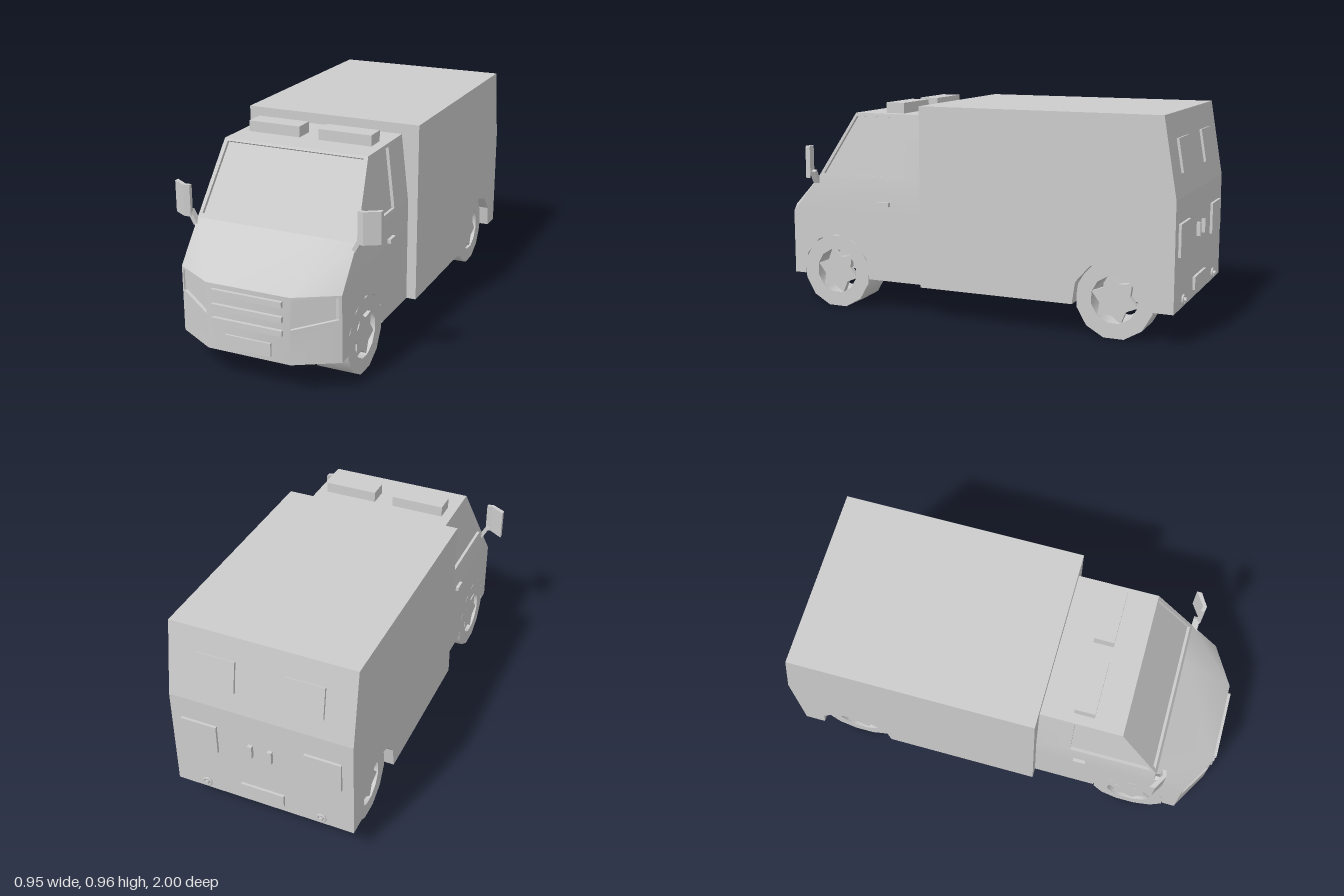
import * as THREE from 'three';
import { toCreasedNormals } from 'three/addons/utils/BufferGeometryUtils.js';

const FLOOR = 0.145, WAIST = 0.44, SILL = 0.61, ROOF = 0.915; // cab heights
const HALF = 0.37, BOX = 0.415;                               // cab and cargo half widths
const FRONT = 0.985, CORNER = 0.88, BACK = 0.185;             // cab depths
const AXLE = 0.17, ARCH = 0.175;

const v = (x, y, z) => new THREE.Vector3(x, y, z);
const quad = (a, b, c, d) => [a, b, c, a, c, d];

// Mirror a list of triangles across x = 0, keeping them facing outwards
const mirror = (tris) => tris.map((p) => v(-p.x, p.y, p.z)).reverse();

// Four-sided panel with a sunken four-sided pane
function recessed(outer, inner, depth) {
  const n = v(0, 0, 0).subVectors(outer[1], outer[0])
    .cross(v(0, 0, 0).subVectors(outer[2], outer[0])).normalize();
  const deep = inner.map((p) => p.clone().addScaledVector(n, -depth));
  const out = quad(...deep);
  for (let i = 0; i < 4; i++) {
    const j = (i + 1) % 4;
    out.push(...quad(outer[i], outer[j], inner[j], inner[i]));
    out.push(...quad(inner[i], inner[j], deep[j], deep[i]));
  }
  return out;
}

function surface(tris) {
  const g = new THREE.BufferGeometry().setFromPoints(tris);
  g.computeVertexNormals();
  return toCreasedNormals(g, 0.6);
}

// Extrude a (z, y) outline sideways from x0 to x1
function slab(points, x0, x1, hole) {
  const shape = new THREE.Shape(points.map(([z, y]) => new THREE.Vector2(z, y)));
  if (hole) shape.holes.push(new THREE.Path(hole.map(([z, y]) => new THREE.Vector2(z, y))));
  const g = new THREE.ExtrudeGeometry(shape, { depth: x1 - x0, bevelEnabled: false });
  return g.rotateY(-Math.PI / 2).translate(x1, 0, 0);
}

// Regular ring of (z, y) points; a second radius makes a star
function ring(sides, r, r2 = r) {
  return Array.from({ length: sides }, (_, i) => {
    const a = ((i + 0.5) / sides) * Math.PI * 2, q = i % 2 ? r2 : r;
    return [Math.cos(a) * q, Math.sin(a) * q];
  });
}

// Wheel arch points from rear to front, cut up from the floor line
function arch(zc) {
  const low = Math.asin((FLOOR - AXLE) / ARCH);
  return Array.from({ length: 7 }, (_, i) => {
    const a = Math.PI - low - (i / 6) * (Math.PI - 2 * low);
    return [zc + Math.cos(a) * ARCH, AXLE + Math.sin(a) * ARCH];
  });
}

export function createModel() {
  const root = new THREE.Group();
  const grey = new THREE.MeshStandardMaterial({ color: 0xcccccc });
  grey.name = 'body grey';

  const add = (name, geometry, parent = root) => {
    const m = new THREE.Mesh(geometry, grey);
    m.name = name;
    parent.add(m);
    return m;
  };
  const box = (name, x0, x1, y0, y1, z0, z1) => add(name,
    new THREE.BoxGeometry(x1 - x0, y1 - y0, z1 - z0)
      .translate((x0 + x1) / 2, (y0 + y1) / 2, (z0 + z1) / 2));

  // Cargo box: plain core with arched outer slabs
  const cargoTop = [[BACK, FLOOR], [BACK, 0.962], [-0.92, 0.962], [-0.978, 0.62], [-0.978, FLOOR]];
  const cargoArched = [...cargoTop, ...arch(-0.71)];
  add('cargoCore', slab(cargoTop, -0.2, 0.2));
  add('cargoSideLeft', slab(cargoArched, 0.2, BOX));
  add('cargoSideRight', slab(cargoArched, -BOX, -0.2));

  // Lower cab: plain core with arched outer slabs
  const cabLow = [[CORNER, FLOOR], [CORNER, WAIST], [BACK, WAIST], [BACK, FLOOR]];
  const cabArched = [...cabLow, ...arch(0.65)];
  add('cabCore', slab(cabLow, -0.2, 0.2));
  add('cabSideLeft', slab(cabArched, 0.2, HALF));
  add('cabSideRight', slab(cabArched, -HALF, -0.2));

  // Nose and hood, with sunken headlights on the chamfered corners
  const E = 0.19;
  const onCorner = (x, y) => v(x, y, CORNER + ((HALF - x) / (HALF - E)) * (FRONT - CORNER));
  const lampCorner = recessed(
    [onCorner(E, FLOOR), onCorner(HALF, FLOOR), onCorner(HALF, WAIST), onCorner(E, WAIST)],
    [onCorner(0.193, 0.298), onCorner(0.36, 0.335), onCorner(0.36, 0.43), onCorner(0.205, 0.42)], 0.014);
  const hoodCorner = quad(v(E, WAIST, FRONT), v(HALF, WAIST, CORNER), v(HALF, SILL, 0.74), v(E, SILL, 0.74));
  add('noseAndHood', surface([
    ...quad(v(-E, FLOOR, FRONT), v(E, FLOOR, FRONT), v(E, WAIST, FRONT), v(-E, WAIST, FRONT)),
    ...quad(v(-E, WAIST, FRONT), v(E, WAIST, FRONT), v(E, SILL, 0.74), v(-E, SILL, 0.74)),
    ...quad(v(-HALF, FLOOR, CORNER), v(HALF, FLOOR, CORNER), v(E, FLOOR, FRONT), v(-E, FLOOR, FRONT)),
    ...lampCorner, ...mirror(lampCorner), ...hoodCorner, ...mirror(hoodCorner),
  ]));

  // Doors with sunken side windows
  const T = 0.335;
  const onSide = (y, z) => v(HALF - ((HALF - T) * (y - SILL)) / (ROOF - SILL), y, z);
  const door = [
    ...quad(v(HALF, WAIST, CORNER), v(HALF, WAIST, BACK), v(HALF, SILL, BACK), v(HALF, SILL, 0.74)),
    ...recessed(
      [onSide(SILL, 0.74), onSide(SILL, BACK), onSide(ROOF, BACK), onSide(ROOF, 0.55)],
      [onSide(0.63, 0.71), onSide(0.63, 0.34), onSide(0.9, 0.34), onSide(0.9, 0.545)], 0.014),
  ];
  add('doorLeft', surface(door));
  add('doorRight', surface(mirror(door)));

  // Sunken windshield and roof
  const onShield = (x, y) => v(x, y, 0.74 - (0.19 * (y - SILL)) / (ROOF - SILL));
  add('windshield', surface(recessed(
    [onShield(-HALF, SILL), onShield(HALF, SILL), onShield(T, ROOF), onShield(-T, ROOF)],
    [onShield(-0.352, 0.628), onShield(0.352, 0.628), onShield(0.318, 0.905), onShield(-0.318, 0.905)], 0.014)));
  add('cabRoof', surface(
    quad(v(-T, ROOF, 0.55), v(T, ROOF, 0.55), v(T, ROOF, BACK), v(-T, ROOF, BACK))));

  // Grille bars and front plate
  for (const y of [0.27, 0.33, 0.395]) box('grilleBar', -0.16, 0.16, y, y + 0.025, FRONT - 0.01, 1);
  box('frontPlate', -0.105, 0.105, 0.167, 0.226, FRONT - 0.01, 0.994);

  // Paired fittings
  for (const s of [1, -1]) {
    const pair = (name, x0, x1, ...rest) => box(name, Math.min(s * x0, s * x1), Math.max(s * x0, s * x1), ...rest);
    pair('roofLight', 0.045, 0.29, ROOF - 0.005, 0.963, 0.325, 0.415);
    pair('doorHandle', 0.365, 0.385, 0.495, 0.514, 0.362, 0.418);
    pair('rearLowerWindow', 0.2, 0.365, 0.375, 0.515, -0.99, -0.975);
    pair('rearHandle', 0.035, 0.055, 0.41, 0.47, -0.995, -0.975);

    // Upper rear windows follow the leaning back wall
    const pane = add('rearUpperWindow', new THREE.BoxGeometry(0.175, 0.145, 0.02));
    pane.position.set(s * 0.197, 0.785, -0.951);
    pane.rotation.x = Math.atan2(0.058, 0.342);

    // Tail lamps: ring around a small lens
    const lamp = new THREE.Group();
    lamp.name = 'tailLamp';
    lamp.position.set(s * 0.27, 0.178, -0.982);
    add('lampRim', new THREE.TorusGeometry(0.018, 0.006, 6, 12), lamp);
    add('lampLens', new THREE.CylinderGeometry(0.01, 0.01, 0.03, 10).rotateX(Math.PI / 2), lamp);
    root.add(lamp);

    // Mirrors: bent plate on a short arm
    const plan = [[0.385, 0.752], [0.41, 0.757], [0.475, 0.715], [0.475, 0.738], [0.412, 0.775], [0.385, 0.77]];
    const plate = new THREE.Shape(plan.map(([x, z]) => new THREE.Vector2(s * x, -z)));
    add('mirror', new THREE.ExtrudeGeometry(plate, { depth: 0.14, bevelEnabled: false })
      .rotateX(-Math.PI / 2).translate(0, 0.62, 0));
    const arm = add('mirrorArm', new THREE.BoxGeometry(0.018, 0.065, 0.03));
    arm.position.set(s * 0.382, 0.615, 0.75);
    arm.rotation.z = s * -0.5;

    // Wheels: hollow tyre with a star-shaped hub
    for (const [name, z] of [['frontWheel', 0.65], ['rearWheel', -0.71]]) {
      const wheel = new THREE.Group();
      wheel.name = name;
      wheel.position.set(s * 0.2875, AXLE, z);
      wheel.rotation.y = s > 0 ? 0 : Math.PI;
      add('tyre', toCreasedNormals(slab(ring(12, 0.174), -0.0825, 0.0825, ring(12, 0.105)), 0.6), wheel);
      add('hub', slab(ring(12, 0.107, 0.07), 0.05, 0.075), wheel);
      root.add(wheel);
    }
  }
  box('rearPlate', -0.1, 0.1, 0.18, 0.238, -0.99, -0.975);
  return root;
}
